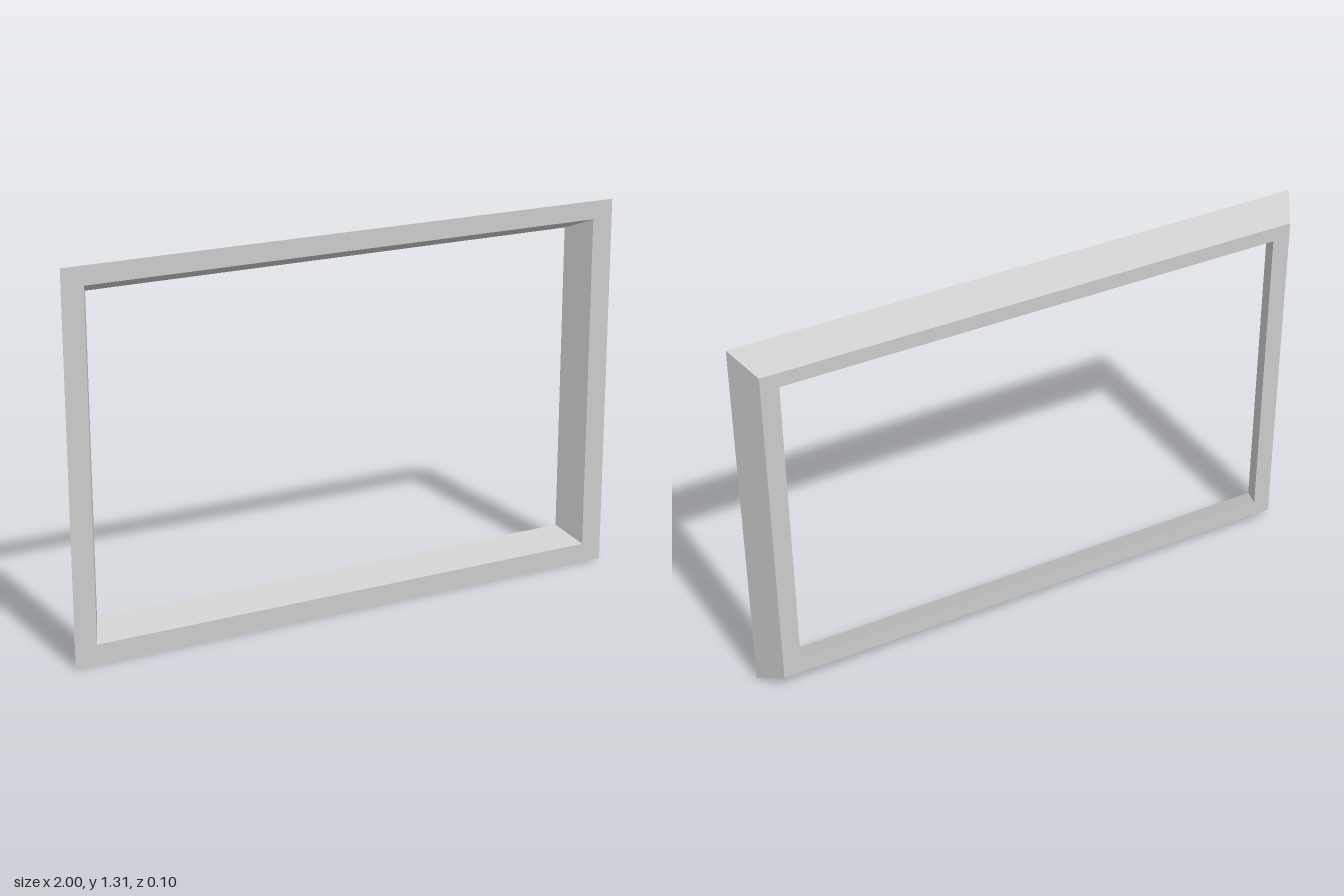
import * as THREE from 'three';

// Corner loop of a rectangle, counter-clockwise seen from the front
const loop = (halfW, bottom, top, z) => [
  [-halfW, bottom, z], [halfW, bottom, z], [halfW, top, z], [-halfW, top, z],
];

export function createModel() {
  const group = new THREE.Group();
  group.name = 'frame';
  const material = new THREE.MeshStandardMaterial({ color: 0xcccccc, flatShading: true });

  // Cross-section of the moulding, swept around the four mitred corners
  const D = 0.052;
  const rings = [
    loop(1.0, 0, 1.306, D),         // outer front edge
    loop(0.925, 0.069, 1.243, D),   // inner front edge
    loop(0.88, 0.115, 1.198, -D),   // inner back edge
    loop(0.942, 0.058, 1.249, -D),  // outer back edge
  ];

  // One mesh per rail, closed by the neighbouring rails at the mitres
  const names = ['bottomRail', 'leftRail', 'topRail', 'rightRail'];
  names.forEach((name, side) => {
    const next = (side + 1) % 4;
    const positions = [];
    rings.forEach((ring, r) => {
      const inner = rings[(r + 1) % 4];
      const a = ring[side], b = ring[next], c = inner[next], d = inner[side];
      positions.push(...a, ...b, ...c, ...a, ...c, ...d);
    });
    const geometry = new THREE.BufferGeometry();
    geometry.setAttribute('position', new THREE.Float32BufferAttribute(positions, 3));
    geometry.computeVertexNormals();
    const rail = new THREE.Mesh(geometry, material);
    rail.name = name;
    group.add(rail);
  });

  return group;
}
